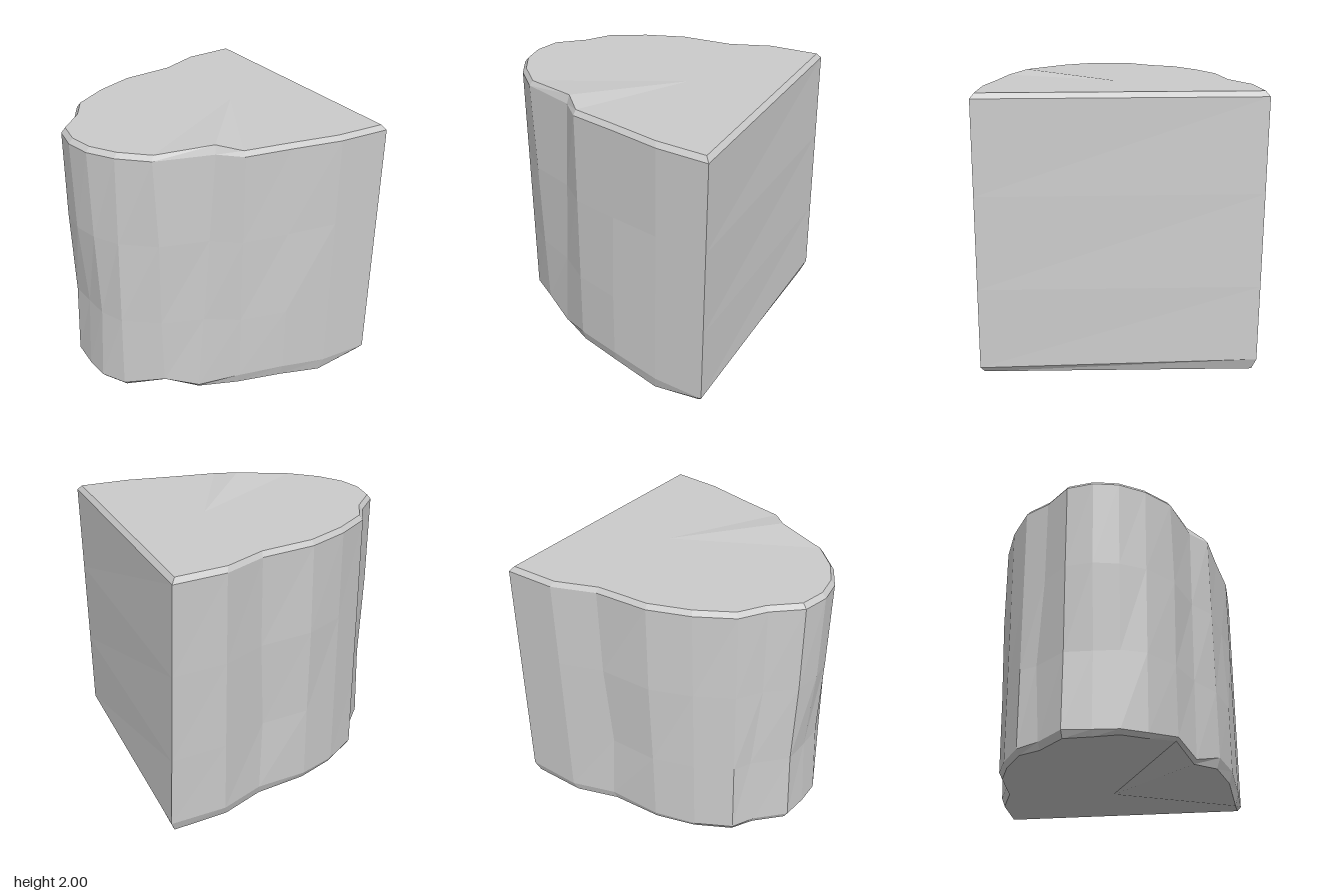
import * as THREE from 'three';

// Columns around the outline, from the front right corner over the left to the back:
// top x, top z, bottom x, bottom z, bottom edge height, underside height
const COLUMNS = [
  [0.93, 0.965, 0.935, 0.96, 0.1, 0.06],
  [0.56, 0.94, 0.56, 0.935, 0.1, 0.0],
  [0.2, 0.86, 0.2, 0.89, 0.16, 0.07],
  [-0.13, 0.795, -0.13, 0.8, 0.16, 0.08],
  [-0.27, 0.66, -0.38, 0.64, 0.07, 0.04],
  [-0.67, 0.53, -0.61, 0.53, 0.15, 0.13],
  [-0.85, 0.36, -0.85, 0.35, 0.1, 0.07],
  [-0.96, 0.18, -0.94, 0.18, 0.1, 0.07],
  [-0.995, 0, -0.95, 0, 0.1, 0.06],
  [-0.96, -0.19, -0.94, -0.2, 0.11, 0.06],
  [-0.78, -0.36, -0.76, -0.38, 0.1, 0.05],
  [-0.67, -0.54, -0.67, -0.54, 0.09, 0.05],
  [-0.42, -0.69, -0.42, -0.68, 0.09, 0.05],
  [-0.13, -0.8, -0.13, -0.78, 0.11, 0.06],
  [0.26, -0.83, 0.26, -0.81, 0.13, 0.06],
  [0.56, -0.95, 0.58, -0.92, 0.13, 0.06],
  [0.93, -0.965, 0.99, -0.93, 0.14, 0.06],
];

// Chips and dents on the two middle rings: 'ring,column': [dx, dz]
const DENTS = {
  '2,7': [0.03, 0.0], '2,8': [0.04, 0], '2,9': [0.02, 0.0], '2,10': [0.04, -0.04],
  '3,7': [0.01, 0.0], '2,14': [-0.03, 0.02], '3,13': [0, -0.01],
  '2,2': [0, 0.01], '3,5': [0.01, 0.01],
};

const INSET = 0.97; // bevel width of the worn rims
const TOP_EDGE = 1.94;

// Horizontal cross-sections from the underside to the top face
function makeRings() {
  const rings = [[], [], [], [], [], []];
  COLUMNS.forEach(([tx, tz, bx, bz, by, under], i) => {
    rings[0].push([bx * INSET, under, bz * INSET]);
    rings[1].push([bx, by, bz]);
    [0.66, 1.3].forEach((y, k) => {
      const t = (y - by) / (TOP_EDGE - by);
      const [dx, dz] = DENTS[`${k + 2},${i}`] || [0, 0];
      rings[k + 2].push([bx + (tx - bx) * t + dx, y, bz + (tz - bz) * t + dz]);
    });
    rings[4].push([tx, TOP_EDGE, tz]);
    // the top lip rises slightly at the front notch
    rings[5].push([tx * INSET, i === 4 ? 2.0 : 1.975, tz * INSET]);
  });
  return rings;
}

function rockGeometry() {
  const rings = makeRings();
  const n = COLUMNS.length;
  const pos = [];
  const tri = (a, b, c) => pos.push(...a, ...b, ...c);

  // Side faces and bevels
  for (let r = 0; r < rings.length - 1; r++) {
    for (let i = 0; i < n; i++) {
      const j = (i + 1) % n;
      const a = rings[r][i], b = rings[r][j], c = rings[r + 1][i], d = rings[r + 1][j];
      tri(a, c, b);
      tri(b, c, d);
    }
  }

  // Flat underside and top
  const low = [0.3, 0.05, 0], high = [0.3, 1.975, 0];
  for (let i = 0; i < n; i++) {
    const j = (i + 1) % n;
    tri(low, rings[0][i], rings[0][j]);
    tri(high, rings[5][j], rings[5][i]);
  }

  const geometry = new THREE.BufferGeometry();
  geometry.setAttribute('position', new THREE.Float32BufferAttribute(pos, 3));
  geometry.computeVertexNormals();
  return geometry;
}

export function createModel() {
  const group = new THREE.Group();
  group.name = 'rockBlock';
  const rock = new THREE.Mesh(
    rockGeometry(),
    new THREE.MeshStandardMaterial({ color: 0xcccccc, flatShading: true })
  );
  rock.name = 'rock';
  group.add(rock);
  return group;
}
